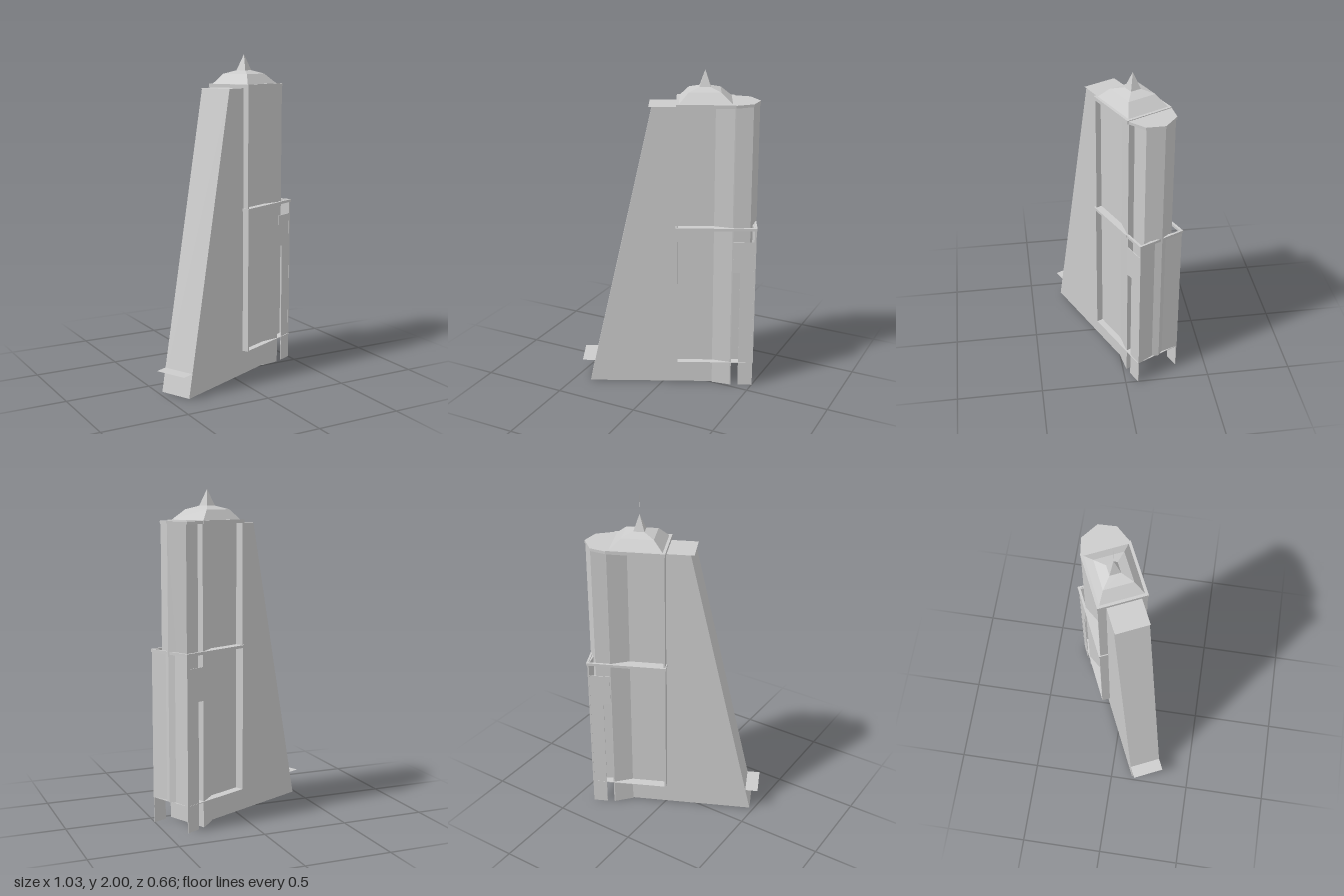
import * as THREE from 'three';

const material = new THREE.MeshStandardMaterial({ color: 0xcccccc, flatShading: true, side: THREE.DoubleSide });

// Vertical prism from a plan outline of [x, z] points
function prism(plan, y0, y1) {
  const shape = new THREE.Shape(plan.map(([x, z]) => new THREE.Vector2(x, -z)));
  const g = new THREE.ExtrudeGeometry(shape, { depth: y1 - y0, bevelEnabled: false });
  return g.rotateX(-Math.PI / 2).translate(0, y0, 0);
}

const rect = (x0, x1, z0, z1) => [[x0, z0], [x0, z1], [x1, z1], [x1, z0]];
const block = (x0, x1, z0, z1, y0, y1) => prism(rect(x0, x1, z0, z1), y0, y1);

// Upright slab from an [x, y] outline, spanning z0 to z1
function slab(outline, z0, z1) {
  const shape = new THREE.Shape(outline.map(([x, y]) => new THREE.Vector2(x, y)));
  return new THREE.ExtrudeGeometry(shape, { depth: z1 - z0, bevelEnabled: false }).translate(0, 0, z0);
}

// Stacked rectangles [x0, x1, z0, z1, y] joined by sloping sides
function hipped(levels) {
  const pos = [];
  const corners = ([x0, x1, z0, z1, y]) => rect(x0, x1, z0, z1).map(([x, z]) => [x, y, z]);
  for (let i = 0; i + 1 < levels.length; i++) {
    const a = corners(levels[i]), b = corners(levels[i + 1]);
    for (let k = 0; k < 4; k++) {
      const n = (k + 1) % 4;
      pos.push(...a[k], ...a[n], ...b[n], ...a[k], ...b[n], ...b[k]);
    }
  }
  const g = new THREE.BufferGeometry();
  g.setAttribute('position', new THREE.Float32BufferAttribute(pos, 3));
  g.computeVertexNormals();
  return g;
}

export function createModel() {
  const model = new THREE.Group();
  const tower = new THREE.Group();
  tower.name = 'tower';
  tower.rotation.y = THREE.MathUtils.degToRad(25);
  model.add(tower);

  const add = (name, geometry) => {
    const m = new THREE.Mesh(geometry, material);
    m.name = name;
    tower.add(m);
  };

  // Sloping slab that carries the tower
  const z0 = -0.08, z1 = 0.113;
  add('slopingSlab', slab([[-0.49, 0.005], [0.245, 0.005], [0.245, 1.7], [-0.108, 1.7]], z0, z1));

  // Thin floor sheets overhanging the slope
  for (const [name, x, y] of [['lowerFloor', -0.535, 0.14], ['upperFloor', -0.127, 1.7]]) {
    const w = 0.245 - x;
    add(name, new THREE.PlaneGeometry(w, z1 - z0).rotateX(-Math.PI / 2).translate(x + w / 2, y, (z0 + z1) / 2));
  }

  // Core flaring out to a fin just behind the faceted end
  add('flaredCore', prism([[0.245, z0], [0.245, z1], [0.351, 0.143], [0.358, 0.143], [0.358, -0.126], [0.351, -0.126]], 0, 1.7));

  // Thin end plate standing proud of the slab, broader below the ledge
  add('upperEndPlate', block(0.03, 0.038, -0.127, 0.146, 1, 1.7));
  add('lowerEndPlate', block(0.028, 0.038, -0.132, 0.151, 0.15, 1));

  // Faceted end, and the shallow folded wall in front of its lower half
  add('facetedEnd', prism([[0.355, -0.088], [0.355, 0.107], [0.455, 0.1], [0.495, 0.007], [0.447, -0.09]], 0.15, 1.7));
  add('lowerEndWall', prism([[0.478, -0.132], [0.462, 0.007], [0.478, 0.146], [0.489, 0.146], [0.475, 0.007], [0.487, -0.132]], 0.15, 1));

  // Side screens reaching the ground, notched next to the fin
  const screen = [[0.4, 0], [0.486, 0], [0.486, 0.92], [0.358, 0.92], [0.358, 0.73], [0.4, 0.73]];
  add('leftScreen', slab(screen, 0.141, 0.145));
  add('rightScreen', slab(screen, -0.131, -0.127));

  // Floor sheet under the lower storeys
  add('undersideFloor', block(0.028, 0.487, -0.132, 0.15, 0.148, 0.152));

  // Ledge halfway up: filled beside the slab, an open rim around the end
  const ledge = [
    [0.024, 0.358, 0.11, 0.155], [0.024, 0.358, -0.137, -0.078], [0.024, 0.036, -0.137, 0.155],
    [0.358, 0.492, 0.137, 0.151], [0.358, 0.492, -0.137, -0.123], [0.48, 0.492, -0.137, 0.151],
  ];
  for (const r of ledge) add('ledge', block(...r, 0.99, 1.006));

  // Roof slabs
  add('mainRoofSlab', block(0.026, 0.355, -0.13, 0.149, 1.7, 1.72));
  add('endRoofSlab', prism([[0.35, -0.13], [0.35, 0.146], [0.457, 0.104], [0.499, 0.008], [0.447, -0.098]], 1.7, 1.716));

  // Hipped roof, spire and mast
  const cx = 0.186, cz = 0.006, r = 0.031;
  const spireFoot = [cx - r, cx + r, cz - r, cz + r, 1.797];
  add('hippedRoof', hipped([
    [0.042, 0.339, -0.115, 0.133, 1.72],
    [0.095, 0.275, -0.078, 0.09, 1.777],
    spireFoot,
  ]));
  add('spire', hipped([spireFoot, [cx, cx, cz, cz, 1.89]]));
  add('mast', new THREE.CylinderGeometry(0.0007, 0.0007, 0.14, 4).translate(cx, 1.93, cz));

  return model;
}
